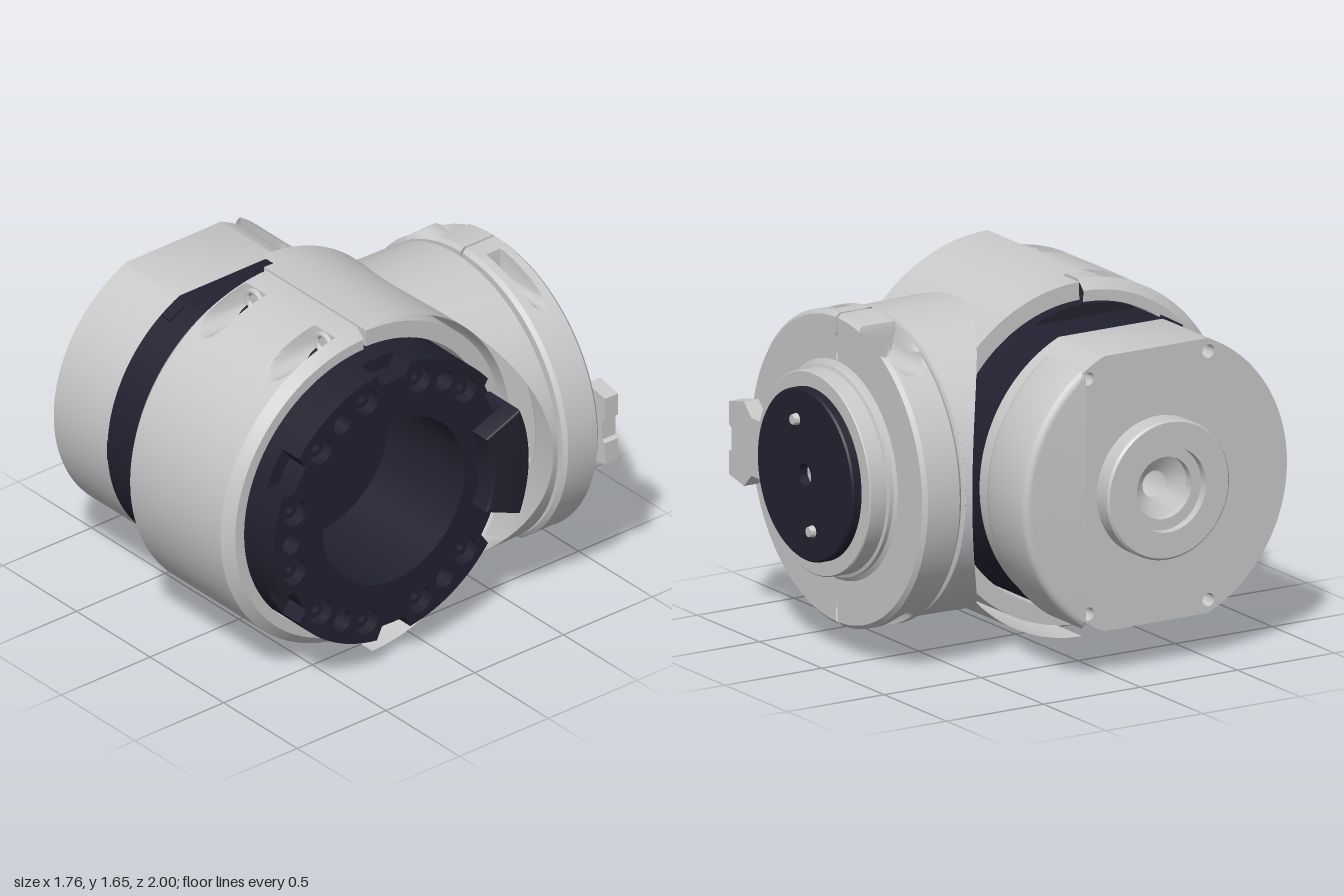
import * as THREE from 'three';
import { toCreasedNormals } from 'three/addons/utils/BufferGeometryUtils.js';

const CY = 0.825, AZ = 0.225, BX = 0.175; // main axis runs along x, output axis along z
const HALF = Math.PI / 2, rad = d => d * Math.PI / 180;

export function createModel() {
  const model = new THREE.Group();
  const silver = new THREE.MeshStandardMaterial({ color: 0xc8c9c8, side: THREE.DoubleSide });
  silver.name = 'silver';
  const dark = new THREE.MeshStandardMaterial({ color: 0x222130 });
  dark.name = 'dark navy';

  const add = (name, geo, mat, x, y, z) => {
    const m = new THREE.Mesh(toCreasedNormals(geo, 0.6), mat);
    m.name = name;
    m.position.set(x, y, z);
    model.add(m);
    return m;
  };
  // lathe profiles are [radius, distance along the axis]
  const lathe = (pts, seg = 96) => new THREE.LatheGeometry(pts.map(p => new THREE.Vector2(...p)), seg);
  const latheX = (name, pts, mat) => add(name, lathe(pts).rotateZ(-HALF), mat, 0, CY, AZ);
  const latheZ = (name, pts, mat) =>
    add(name, lathe(pts.map(([r, z]) => [r, -z])).rotateX(-HALF), mat, BX, CY, 0);
  // extrude along x; the shape's first coordinate points to the back
  const extrudeX = (name, shape, x0, x1, mat, bevel = 0) => add(name, new THREE.ExtrudeGeometry(shape, {
    depth: x1 - x0 - 2 * bevel, curveSegments: 48, bevelEnabled: bevel > 0, bevelSize: bevel,
    bevelThickness: bevel, bevelOffset: -bevel, bevelSegments: 3,
  }).rotateY(HALF), mat, x0 + bevel, CY, AZ);
  const hole = (shape, u, v, r) => shape.holes.push(new THREE.Path().absarc(u, v, r, 0, 2 * Math.PI, true));
  const sector = (r0, r1, a0, a1) => {
    const s = new THREE.Shape();
    s.absarc(0, 0, r1, a0, a1, false);
    s.absarc(0, 0, r0, a1, a0, true);
    s.closePath();
    return s;
  };

  // clamp half: chamfered ring section whose outer wall is cut by round screw pockets
  function clampGeometry(h0, h1, R, inner, ch, t0, t1, pockets, steps) {
    const rows = [[h0, inner], [h0, R - ch]];
    for (let i = 0; i <= steps; i++) rows.push([h0 + ch + (h1 - h0 - 2 * ch) * i / steps, R]);
    rows.push([h1, R - ch], [h1, inner]);
    const N = 200, pos = [], idx = [];
    rows.forEach(([h, base], i) => {
      for (let j = 0; j <= N; j++) {
        const t = t0 + (t1 - t0) * j / N, c = Math.cos(t), s = Math.sin(t);
        let r = base;
        for (const p of pockets) {
          const d = h - p.h;
          if (Math.abs(d) >= p.r || c * p.side <= 0 || s * p.up <= 0) continue;
          const low = p.b - Math.sqrt(p.r * p.r - d * d);
          r = Math.min(r, Math.max(low / Math.abs(s), p.a / Math.abs(c)));
        }
        pos.push(r * c, r * s, h);
        if (i && j) {
          const q = i * (N + 1) + j, p = q - N - 1;
          idx.push(p - 1, p, q - 1, p, q, q - 1);
        }
      }
    });
    const g = new THREE.BufferGeometry();
    g.setAttribute('position', new THREE.Float32BufferAttribute(pos, 3));
    g.setIndex(idx);
    g.computeVertexNormals();
    return g;
  }

  // motor housing and dark spacer: discs with flat top and bottom
  const flatDisc = bore => {
    const a = Math.asin(0.62 / 0.675), s = new THREE.Shape();
    s.absarc(0, 0, 0.675, -a, a, false);
    s.absarc(0, 0, 0.675, Math.PI - a, Math.PI + a, false);
    s.closePath();
    hole(s, 0, 0, bore);
    return s;
  };
  const housing = flatDisc(0.14);
  for (const v of [-1, 1]) {
    hole(housing, 0.35, v * 0.53, 0.03);
    hole(housing, -0.27, v * 0.56, 0.03);
  }
  extrudeX('motorHousing', housing, -0.775, -0.41, silver);
  extrudeX('spacerRing', flatDisc(0.06), -0.41, -0.18, dark);
  for (const a of [-60, 0, 60]) {
    const tab = add('spacerTab', new THREE.BoxGeometry(0.06, 0.09, 0.03), dark, -0.37,
      CY + 0.67 * Math.sin(rad(a)), AZ + 0.67 * Math.cos(rad(a)));
    tab.rotation.x = -rad(a);
  }

  // rounded cover at the back of the housing
  const cover = new THREE.Shape();
  const ca = Math.acos(0.395 / 0.705);
  cover.absarc(0, 0, 0.705, -ca, ca, false);
  cover.closePath();
  extrudeX('rearCover', cover, -0.82, -0.5, silver, 0.03);

  // stepped boss on the housing end
  latheX('endBoss', [[0.06, -0.76], [0.14, -0.8], [0.14, -0.84], [0.19, -0.84], [0.19, -0.88],
    [0.305, -0.88], [0.315, -0.87], [0.315, -0.79], [0.275, -0.79], [0.275, -0.775]], silver);

  // dark core with deep recess and centre bore
  latheX('core', [[0.06, -0.2], [0.675, -0.2], [0.675, 0.61], [0.4, 0.61], [0.4, 0.2],
    [0.095, 0.2], [0.095, 0.26], [0.06, 0.26], [0.06, -0.2]], dark);

  // notched bolt flange
  const flange = new THREE.Shape();
  for (let i = 0; i < 180; i++) {
    const d = i * 2, m = (d + 15) % 60;
    const notch = Math.abs(m - 45) <= 6;
    const r = notch ? 0.61 : 0.675;
    flange[i ? 'lineTo' : 'moveTo'](r * Math.cos(rad(d)), r * Math.sin(rad(d)));
  }
  flange.closePath();
  hole(flange, 0, 0, 0.4);
  const polar = (r, d) => [r * Math.cos(rad(d)), r * Math.sin(rad(d))];
  for (let k = 0; k < 12; k++) hole(flange, ...polar(0.575, 15 + 30 * k), 0.062);
  for (const d of [60, 120, 180, 240, 300]) hole(flange, ...polar(0.575, d), 0.048);
  extrudeX('boltFlange', flange, 0.6, 0.72, dark);
  for (let k = 0; k < 12; k++) {
    const [u, v] = polar(0.575, 15 + 30 * k);
    add('flangeBolt', lathe([[0.02, 0.03], [0.02, 0], [0, 0]].reverse().concat([[0.045, 0], [0.045, 0.07], [0.02, 0.07], [0.02, 0.03], [0, 0.03]]).slice(1), 16)
      .rotateZ(-HALF), dark, 0.61, CY + v, AZ - u);
  }
  extrudeX('stopBlock', sector(0.48, 0.685, -rad(22.5), rad(22.5)), 0.6, 0.82, dark, 0.012);

  // front half of the main clamp with four screw pockets
  const mainPockets = [];
  for (const h of [-0.06, 0.41]) for (const up of [-1, 1]) {
    mainPockets.push({ h, b: 0.705, r: 0.068, a: 0.13, side: -1, up });
    add('clampScrew', new THREE.TorusGeometry(0.045, 0.014, 10, 28), silver, h, CY + up * 0.705, AZ + 0.135);
  }
  add('mainClampFront', clampGeometry(-0.18, 0.525, 0.775, 0.68, 0.045, HALF + 0.01, 3 * HALF - 0.01,
    mainPockets, 90).rotateY(HALF), silver, 0, CY, AZ);

  // back half of the main clamp, open in the middle, and its curved shell
  for (const s of [0, 1]) {
    const [a0, a1] = s ? [rad(11.5), HALF - 0.01] : [0.01 - HALF, -rad(11.5)];
    extrudeX('mainClampBack', sector(0.69, 0.77, a0, a1), -0.17, 0.525, silver);
  }
  add('backShell', new THREE.CylinderGeometry(1, 1, 0.755, 96, 1, true, HALF, Math.PI)
    .rotateZ(-HALF).scale(1, 0.825, 0.78), silver, 0.1975, CY, AZ);

  // output neck: round tube whose front rim follows the shell
  const neck = new THREE.CylinderGeometry(0.685, 0.69, 1, 128, 1, true).rotateX(-HALF);
  const p = neck.attributes.position;
  for (let i = 0; i < p.count; i++) {
    const y = p.getY(i) / 0.825;
    p.setZ(i, p.getZ(i) > 0 ? AZ - 0.78 * Math.sqrt(1 - y * y) : -0.585);
  }
  neck.computeVertexNormals();
  add('outputNeck', neck, silver, BX, CY, 0);
  latheZ('neckCap', [[0.685, -0.585], [0.67, -0.595], [0.53, -0.595], [0.5, -0.61], [0.5, -0.8]], silver);

  // split output clamp; its pockets are point-symmetric about the axis
  const outPockets = [];
  for (const s of [-1, 1]) outPockets.push(
    { h: -0.71, b: 0.6, r: 0.083, a: 0.175, side: s, up: -s },
    { h: -0.71, b: 0.6, r: 0.04, a: 0.1, side: s, up: s });
  for (const t of [-HALF, HALF]) {
    add('outputClamp', clampGeometry(-0.81, -0.61, 0.703, 0.49, 0.018, t + 0.01, t + Math.PI - 0.01,
      outPockets, 44), silver, BX, CY, 0);
  }

  // output hub, key tab and dark cover disc
  latheZ('outputHub', [[0.5, -0.8], [0.47, -0.82], [0.47, -0.84], [0.455, -0.845], [0.455, -0.925],
    [0.45, -0.93], [0, -0.93]], silver);
  const tab = new THREE.Shape([[0.38, -0.13], [0.5, -0.13], [0.56, -0.19], [0.68, -0.165], [0.68, -0.06],
    [0.66, -0.05], [0.66, 0.05], [0.68, 0.06], [0.68, 0.165], [0.56, 0.19], [0.5, 0.13], [0.38, 0.13]]
    .map(q => new THREE.Vector2(...q)));
  add('keyTab', new THREE.ExtrudeGeometry(tab, { depth: 0.075, bevelEnabled: false }), silver, BX, CY, -0.929);
  latheZ('outputCover', [[0.385, -0.92], [0.385, -0.967], [0.377, -0.975], [0.05, -0.975], [0.05, -0.93]], dark);
  for (const s of [-1, 1]) {
    add('coverScrew', new THREE.CylinderGeometry(0.022, 0.028, 0.03, 20).rotateX(-HALF), silver,
      BX + s * 0.065, CY + s * 0.238, -0.985);
  }
  return model;
}
